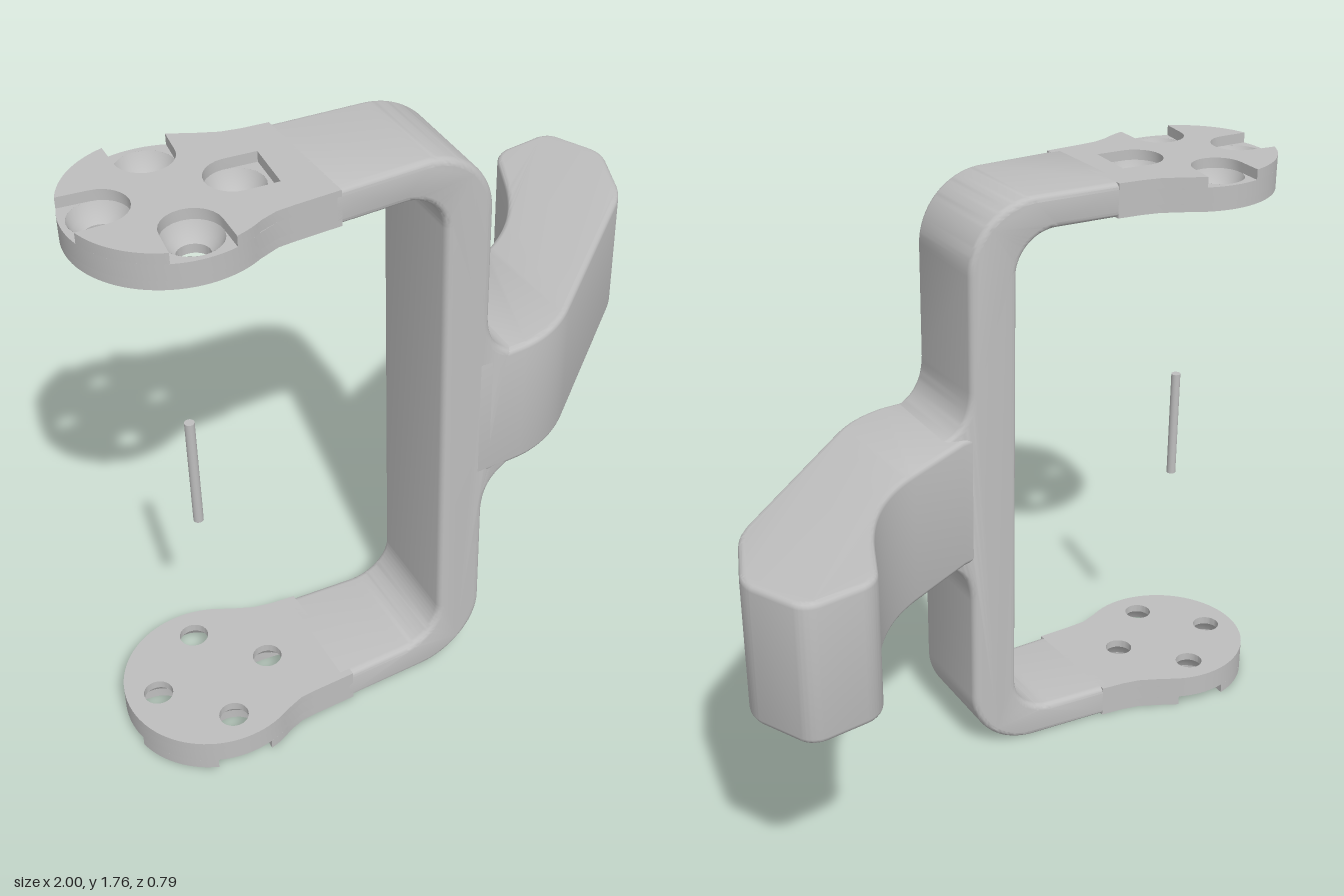
import * as THREE from 'three';
import { toCreasedNormals } from 'three/addons/utils/BufferGeometryUtils.js';

const H = 1.76, T = 0.1;               // overall height, plate thickness
const DISC = new THREE.Vector2(-0.74, 0.035), R = 0.26;
const deg = Math.PI / 180;
const BORE = 0.042, SINK = 0.077;
const holeAngles = [-74.5, -164.5, -254.5, 15.5]; // last one lies towards the arm
const polar = (c, r, a) => new THREE.Vector2(c.x + r * Math.cos(a * deg), c.y + r * Math.sin(a * deg));
const holes = holeAngles.map(a => polar(DISC, 0.168, a));

// front and back edges of the arm in plan
const zFront = x => Math.min(0.37 + 0.167 * x, 0.38);
const zBack = x => 0.035 + 0.26 * x;

// half circle of a screw pocket, on the side facing the disc centre
function pocketArc(i) {
  const pts = [];
  for (let k = 0; k <= 12; k++) pts.push(polar(holes[i], SINK, holeAngles[i] + 90 + k * 15));
  return pts;
}

// plan outline of an end plate, optionally with pockets open to the rim
function plateShape(notched) {
  const pts = [[-0.37, zBack(-0.37)], [-0.44, -0.082], [-0.49, -0.103], [-0.54, -0.138]]
    .map(p => new THREE.Vector2(...p));
  let a = -56;
  while (a >= -291) {
    const i = notched ? [0, 1, 2].find(k => Math.abs(a - holeAngles[k]) < 18) : undefined;
    if (i === undefined) {
      pts.push(polar(DISC, R, a));
      a -= 4;
    } else {
      pts.push(polar(DISC, R, holeAngles[i] + 18), ...pocketArc(i), polar(DISC, R, holeAngles[i] - 18));
      a = holeAngles[i] - 20;
    }
  }
  for (const x of [-0.6, -0.55, -0.5, -0.43]) {
    pts.push(new THREE.Vector2(x, zFront(x) + (x === -0.6 ? 0.002 : 0)));
  }
  return new THREE.Shape(pts);
}

// extrude a plan shape (x, z) between two heights
function slab(shape, y0, y1, bevel = 0) {
  const geo = new THREE.ExtrudeGeometry(shape, {
    depth: y1 - y0 - 2 * bevel, curveSegments: 20, bevelEnabled: bevel > 0,
    bevelThickness: bevel, bevelSize: bevel, bevelOffset: -bevel, bevelSegments: 4,
  });
  geo.rotateX(Math.PI / 2).translate(0, y1 - bevel, 0);
  return toCreasedNormals(geo, 0.6);
}

// C-shaped frame: front profile extruded, then skewed to the arm's plan
function frameGeometry() {
  const s = new THREE.Shape(), end = -0.46, r = 0.2, ri = 0.12, xi = -0.14;
  s.moveTo(end, 0);
  s.lineTo(-r, 0);
  s.absarc(-r, r, r, -Math.PI / 2, 0, false);
  s.lineTo(0, 0.54);
  s.quadraticCurveTo(0.005, 0.68, 0.13, 0.685);
  s.lineTo(0.13, 1.075);
  s.quadraticCurveTo(0.005, 1.08, 0, 1.22);
  s.lineTo(0, H - r);
  s.absarc(-r, H - r, r, 0, Math.PI / 2, false);
  s.lineTo(end, H);
  s.lineTo(end, H - T);
  s.lineTo(xi - ri, H - T);
  s.absarc(xi - ri, H - T - ri, ri, Math.PI / 2, 0, true);
  s.lineTo(xi, T + ri);
  s.absarc(xi - ri, T + ri, ri, 0, -Math.PI / 2, true);
  s.lineTo(end, T);
  s.closePath();
  const b = 0.06;
  const geo = new THREE.ExtrudeGeometry(s, {
    depth: 1 - 2 * b, curveSegments: 16, bevelEnabled: true,
    bevelThickness: b, bevelSize: 0.018, bevelOffset: -0.018, bevelSegments: 4,
  });
  const p = geo.attributes.position;
  for (let i = 0; i < p.count; i++) {
    const t = 1 - b - p.getZ(i);       // 0 at the front, 1 at the back
    const x = p.getX(i) + 0.07 * t;
    p.setX(i, x);
    p.setZ(i, THREE.MathUtils.lerp(zFront(x), zBack(x), t));
  }
  return toCreasedNormals(geo, 0.6);
}

// curved lever outline in plan
function leverShape() {
  const s = new THREE.Shape();
  s.moveTo(-0.04, 0.06);
  s.lineTo(0.1, 0.05);
  s.lineTo(0.32, -0.01);
  s.bezierCurveTo(0.47, -0.05, 0.57, -0.14, 0.65, -0.26);
  s.lineTo(0.71, -0.35);
  s.quadraticCurveTo(0.74, -0.395, 0.79, -0.395);
  s.lineTo(0.91, -0.387);
  s.quadraticCurveTo(0.955, -0.38, 0.965, -0.34);
  s.lineTo(0.995, -0.22);
  s.quadraticCurveTo(1.0, -0.18, 0.98, -0.145);
  s.lineTo(0.9, -0.02);
  s.quadraticCurveTo(0.87, 0.025, 0.82, 0.055);
  s.lineTo(0.34, 0.335);
  s.quadraticCurveTo(0.23, 0.4, 0.12, 0.389);
  s.lineTo(-0.02, 0.367);
  s.lineTo(-0.1, 0.34);
  s.closePath();
  return s;
}

export function createModel() {
  const group = new THREE.Group();
  const grey = new THREE.MeshStandardMaterial({ color: 0xbebebe, side: THREE.DoubleSide });
  grey.name = 'light grey';
  const add = (name, geo, parent = group) => {
    const mesh = new THREE.Mesh(geo, grey);
    mesh.name = name;
    parent.add(mesh);
    return mesh;
  };

  add('frame', frameGeometry());
  add('lever', slab(leverShape(), 0.68, 1.085, 0.016));

  // end plates: bored inner layer, countersunk middle, pocketed outer layer
  const withHoles = r => {
    const s = plateShape(false);
    for (const h of holes) s.holes.push(new THREE.Path().absarc(h.x, h.y, r, 0, Math.PI * 2, true));
    return s;
  };
  const outer = plateShape(true);
  outer.holes.push(new THREE.Path([
    ...pocketArc(3),
    polar(holes[3], 0.115, holeAngles[3] - 41),
    polar(holes[3], 0.115, holeAngles[3] + 41),
  ]));
  for (const top of [true, false]) {
    const plate = new THREE.Group();
    plate.name = top ? 'topPlate' : 'bottomPlate';
    group.add(plate);
    const y = d => (top ? H - T + d : T - d); // distance from the inner face
    const layer = (name, shape, d0, d1) =>
      add(name, slab(shape, Math.min(y(d0), y(d1)), Math.max(y(d0), y(d1))), plate);
    layer('boredLayer', withHoles(BORE), 0, 0.025);
    layer('countersunkLayer', withHoles(SINK), 0.025, 0.07);
    layer('pocketLayer', outer, 0.07, T);
    for (const h of holes) {
      const cone = new THREE.LatheGeometry([
        new THREE.Vector2(BORE, y(0.025)),
        new THREE.Vector2(0.062, y(0.04)),
        new THREE.Vector2(SINK, y(0.07)),
      ], 32);
      add('countersink', cone.translate(h.x, 0, h.y), plate);
    }
  }

  // loose pin between the plates
  const pin = add('pin', new THREE.CylinderGeometry(0.014, 0.014, 0.34, 16));
  pin.position.set(DISC.x, 0.885, DISC.y);

  return group;
}
